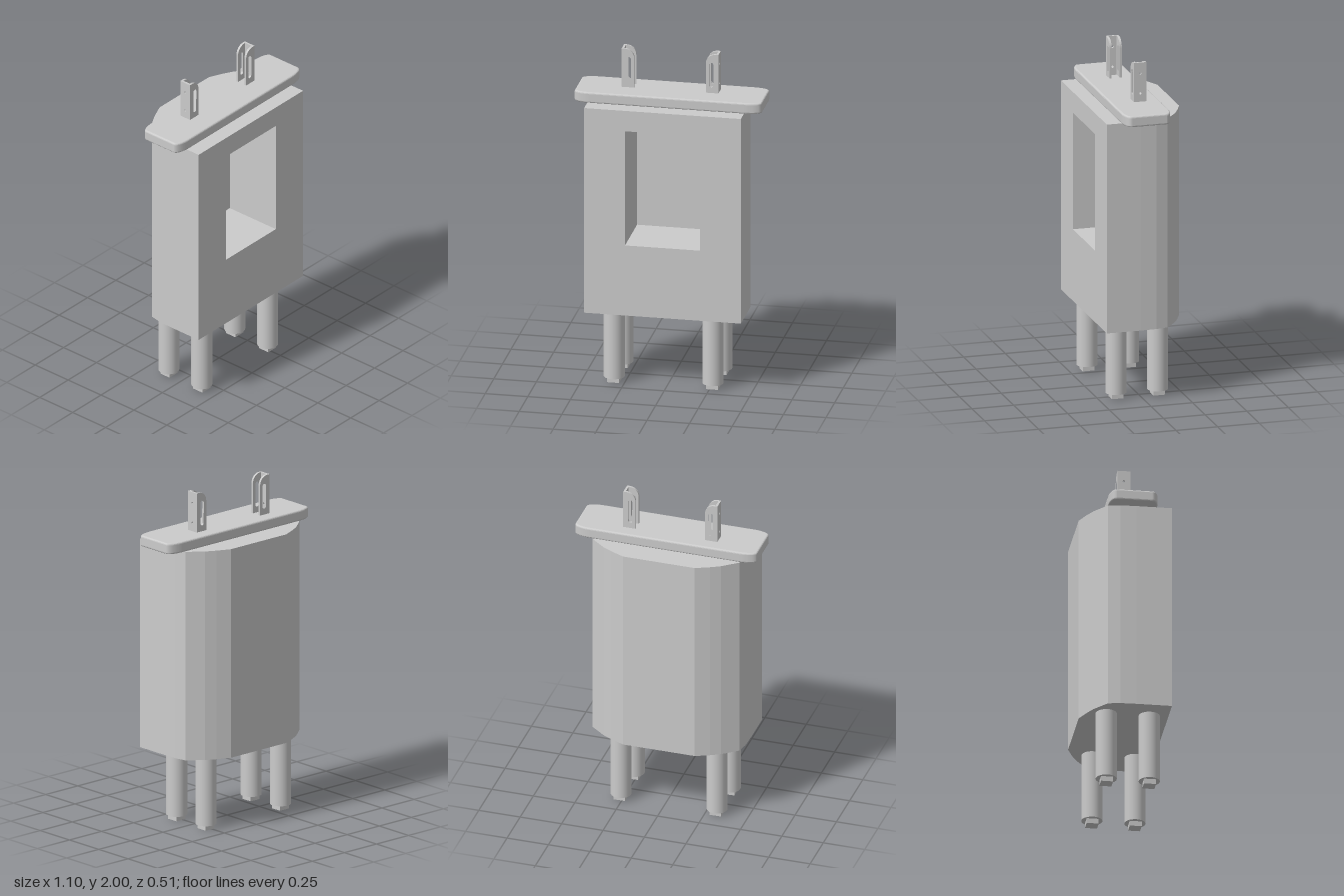
import * as THREE from 'three';

const material = new THREE.MeshStandardMaterial({ color: 0xcccccc });
const CX = -0.01; // mirror plane of the body, legs and terminals

function addMesh(parent, name, geometry, x = 0, y = 0, z = 0) {
  const mesh = new THREE.Mesh(geometry, material);
  mesh.name = name;
  mesh.position.set(x, y, z);
  parent.add(mesh);
  return mesh;
}

// Extrude a plan outline of [x, z] points upward
function extrudePlan(points, height) {
  const shape = new THREE.Shape(points.map(([x, z]) => new THREE.Vector2(x, -z)));
  return new THREE.ExtrudeGeometry(shape, { depth: height, bevelEnabled: false }).rotateX(-Math.PI / 2);
}

// Housing: flat front and sides, faceted curve at the back, window recess in front
function createHousing() {
  const group = new THREE.Group();
  group.name = 'housing';
  const half = [[0.46, 0.25], [0.46, 0.045], [0.457, -0.05], [0.443, -0.12],
    [0.355, -0.19], [0.296, -0.222], [0.216, -0.257]];
  const mirrored = half.map(([x, z]) => [-x, z]).reverse();
  const outline = [...half, ...mirrored];
  const notch = [[-0.22, 0.25], [-0.22, -0.1], [0.22, -0.1], [0.22, 0.25]];
  const levels = [0.445, 0.875, 1.575, 1.7];
  ['lowerHousing', 'windowHousing', 'upperHousing'].forEach((name, i) => {
    const points = i === 1 ? [...outline, ...notch] : outline;
    addMesh(group, name, extrudePlan(points, levels[i + 1] - levels[i]), CX, levels[i], 0);
  });
  return group;
}

// Flange plate with elliptical corners and softened edges
function createPlate() {
  const b = 0.01, hx = 0.55 - b, hz = 0.1425 - b, rx = 0.09, rz = 0.03;
  const shape = new THREE.Shape();
  [[1, 1, 0], [-1, 1, 1], [-1, -1, 2], [1, -1, 3]].forEach(([sx, sy, q]) => {
    shape.absellipse(sx * (hx - rx), sy * (hz - rz), rx, rz, q * Math.PI / 2, (q + 1) * Math.PI / 2, false);
  });
  const geometry = new THREE.ExtrudeGeometry(shape, {
    depth: 0.065 - 2 * b, bevelSize: b, bevelThickness: b, bevelSegments: 3, curveSegments: 8,
  });
  return geometry.rotateX(-Math.PI / 2).translate(0, b, 0);
}

// Cheek of a terminal: rounded inner top corner and a long slot
function createCheek(side, thickness) {
  const w = 0.074, h = 0.235, r = 0.055;
  const P = (x, y) => new THREE.Vector2(side * x, y);
  const shape = new THREE.Shape();
  const corner = [];
  for (let i = 0; i <= 8; i++) {
    const a = Math.PI / 2 + (i / 8) * Math.PI / 2;
    corner.push(P(-w + r + r * Math.cos(a), h - r + r * Math.sin(a)));
  }
  shape.setFromPoints([P(0, 0), P(0, h), ...corner, P(-w, 0)]);
  const slot = [];
  for (let i = 0; i <= 16; i++) {
    const a = (i / 16) * Math.PI * 2;
    slot.push(P(-0.042 + 0.013 * Math.cos(a), (Math.sin(a) >= 0 ? 0.172 : 0.048) + 0.013 * Math.sin(a)));
  }
  shape.holes.push(new THREE.Path(slot));
  return new THREE.ExtrudeGeometry(shape, { depth: thickness, bevelEnabled: false });
}

// U-shaped terminal, open towards the middle
function createTerminal(side) {
  const group = new THREE.Group();
  group.name = side > 0 ? 'leftTerminal' : 'rightTerminal';
  const t = 0.013, depth = 0.074;
  // Outer web with two small holes
  const web = new THREE.Shape([[-depth / 2, 0], [depth / 2, 0], [depth / 2, 0.235], [-depth / 2, 0.235]]
    .map(([x, y]) => new THREE.Vector2(x, y)));
  for (const y of [0.05, 0.17]) {
    web.holes.push(new THREE.Path().absarc(0, y, 0.007, 0, Math.PI * 2, true));
  }
  const webGeometry = new THREE.ExtrudeGeometry(web, { depth: t, bevelEnabled: false }).rotateY(Math.PI / 2);
  addMesh(group, 'terminalWeb', webGeometry, side > 0 ? -t : 0, 0, 0);
  // Front and back cheeks
  for (const z of [-depth / 2, depth / 2 - t]) addMesh(group, 'terminalCheek', createCheek(side, t), 0, 0, z);
  group.position.set(CX + side * 0.284, 1.765, -0.004);
  return group;
}

// Round leg with a square tip
function createLeg(x, z) {
  const group = new THREE.Group();
  group.name = 'leg';
  addMesh(group, 'legPin', new THREE.CylinderGeometry(0.061, 0.061, 0.415, 32), 0, 0.2375, 0);
  addMesh(group, 'legTip', new THREE.BoxGeometry(0.07, 0.034, 0.07), 0, 0.017, 0);
  group.position.set(x, 0, z);
  return group;
}

export function createModel() {
  const model = new THREE.Group();
  model.name = 'pluggableModule';
  model.add(createHousing());
  addMesh(model, 'flangePlate', createPlate(), 0, 1.7, 0.0235);
  for (const side of [-1, 1]) {
    model.add(createTerminal(side));
    for (const z of [0.14, -0.11]) model.add(createLeg(-0.025 + side * 0.29, z));
  }
  return model;
}
